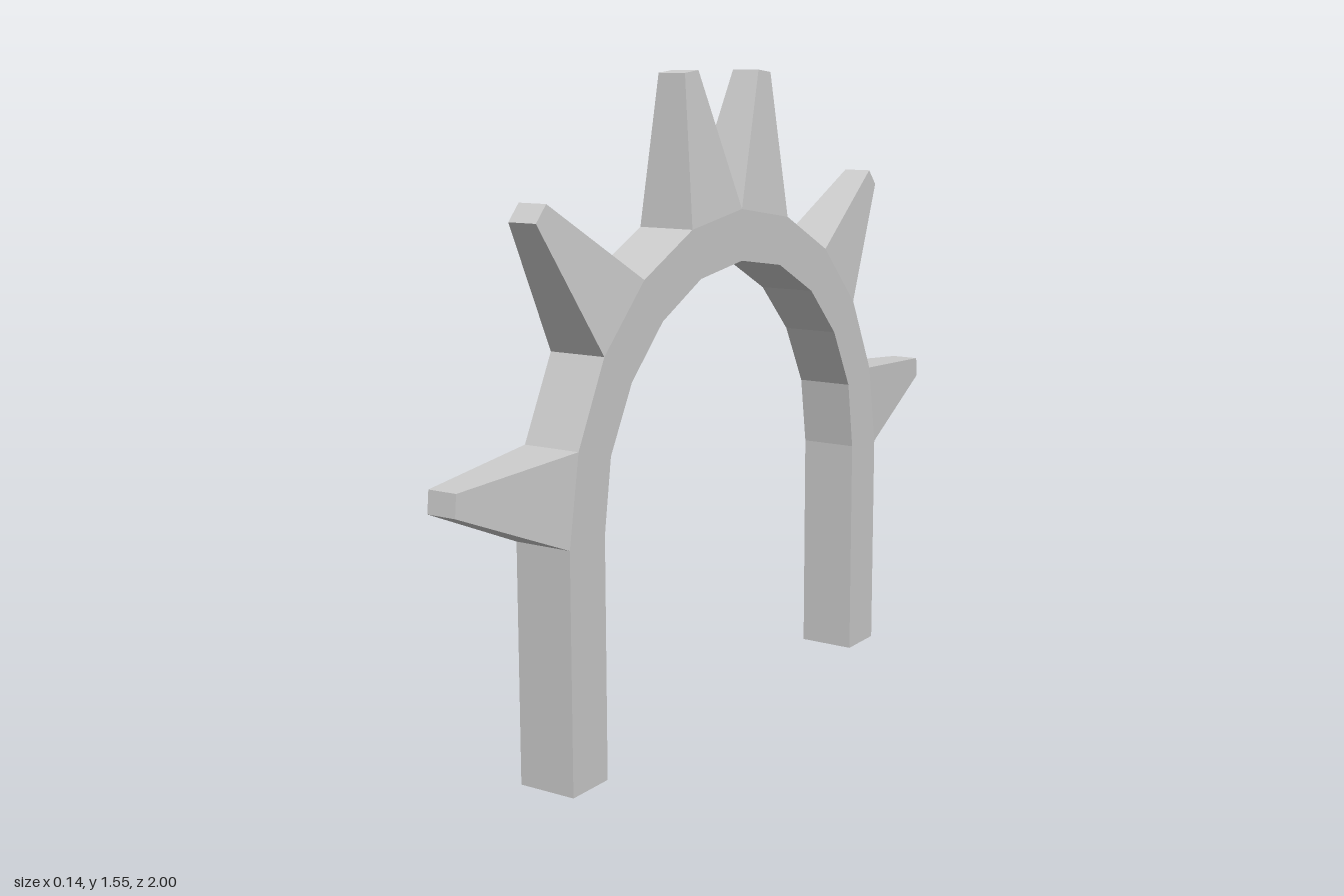
import * as THREE from 'three';

const HALF = 0.072;      // half thickness of the arch
const TIP_HALF = 0.036;  // half thickness at the spike tips

// Half profile as [z, y], from the foot up to the crown
const outerHalf = [[0.68, 0], [0.68, 0.553], [0.645, 0.76], [0.55, 0.95], [0.4, 1.1], [0.21, 1.195], [0, 1.228]];
const innerHalf = [[0.555, 0], [0.555, 0.56], [0.53, 0.73], [0.45, 0.88], [0.33, 1.0], [0.175, 1.08], [0, 1.106]];
// Spike tips, keyed by the arch segment they stand on
const tipsHalf = { 1: [[1, 0.685], [0.995, 0.735]], 3: [[0.73, 1.245], [0.695, 1.283]], 5: [[0.185, 1.544], [0.13, 1.55]] };

const flip = ([z, y]) => [-z, y];
const mirrored = (half) => [...half, ...half.slice(0, -1).reverse().map(flip)];

function quadMesh(name, quads, material) {
  const pos = [];
  for (const [a, b, c, d] of quads) for (const p of [a, b, c, a, c, d]) pos.push(...p);
  const geo = new THREE.BufferGeometry();
  geo.setAttribute('position', new THREE.Float32BufferAttribute(pos, 3));
  geo.computeVertexNormals();
  const mesh = new THREE.Mesh(geo, material);
  mesh.name = name;
  return mesh;
}

// Rectangle across the thickness, between two profile points
const rect = (p, q, h) => [[-h, p[1], p[0]], [h, p[1], p[0]], [h, q[1], q[0]], [-h, q[1], q[0]]];

export function createModel() {
  const group = new THREE.Group();
  group.name = 'spikedArch';
  const material = new THREE.MeshStandardMaterial({ color: 0xcccccc, flatShading: true, side: THREE.DoubleSide });

  const outer = mirrored(outerHalf);
  const inner = mirrored(innerHalf);
  const segments = outer.length - 1;
  const tips = {};
  for (const [key, [p, q]] of Object.entries(tipsHalf)) {
    tips[key] = [p, q];
    tips[segments - 1 - key] = [flip(q), flip(p)];
  }

  // Arch band with open feet; spikes cover the outer face where they stand
  const quads = [];
  const section = (i) => {
    const [o, n] = [outer[i], inner[i]];
    return [[HALF, o[1], o[0]], [-HALF, o[1], o[0]], [-HALF, n[1], n[0]], [HALF, n[1], n[0]]];
  };
  for (let i = 0; i < segments; i++) {
    const s0 = section(i), s1 = section(i + 1);
    for (let k = 0; k < 4; k++) {
      if (k === 0 && tips[i]) continue;
      const m = (k + 1) % 4;
      quads.push([s0[m], s0[k], s1[k], s1[m]]);
    }
  }
  group.add(quadMesh('arch', quads, material));

  // Tapered spikes with blunt tips
  for (const [key, [p, q]] of Object.entries(tips)) {
    const i = Number(key);
    const base = rect(outer[i], outer[i + 1], HALF);
    const tip = rect(p, q, TIP_HALF);
    const faces = [tip];
    for (let k = 0; k < 4; k++) {
      const m = (k + 1) % 4;
      faces.push([base[k], base[m], tip[m], tip[k]]);
    }
    group.add(quadMesh('spike', faces, material));
  }
  return group;
}
